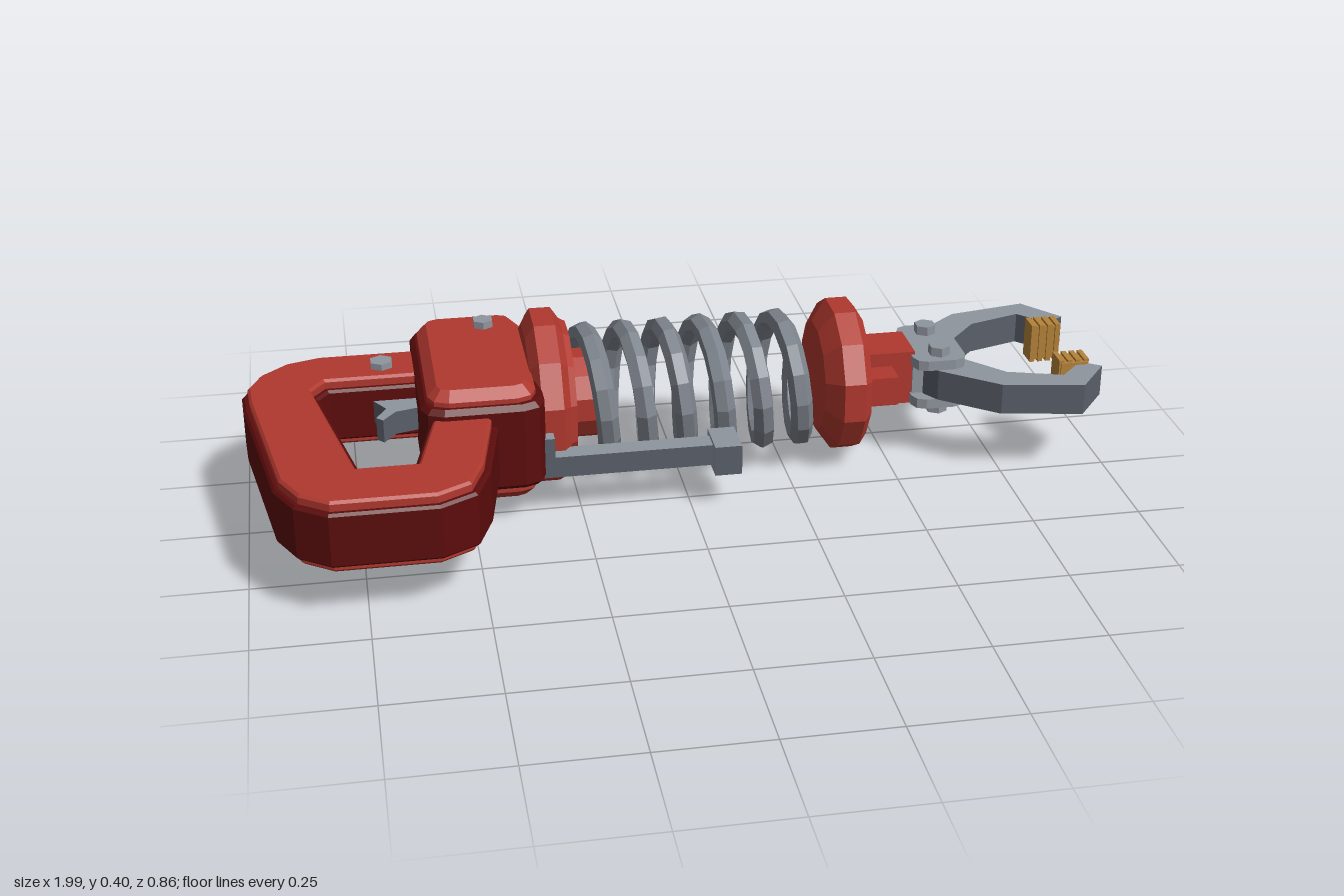
import * as THREE from 'three';

const AXIS_Y = 0.207, AXIS_Z = -0.19;

export function createModel() {
  const root = new THREE.Group();
  root.name = 'gripperTool';
  const mat = (name, color) => {
    const m = new THREE.MeshStandardMaterial({ color });
    m.name = name;
    return m;
  };
  const red = mat('red', 0xb0382e), darkRed = mat('dark red', 0x5c0c0c);
  const grey = mat('light grey', 0x8f959d), steel = mat('spring grey', 0x7d838c);
  const darkGrey = mat('dark grey', 0x5a606a), gold = mat('gold', 0xb58339);

  // Faceted mesh
  const add = (name, geo, material) => {
    const g = geo.index ? geo.toNonIndexed() : geo;
    g.computeVertexNormals();
    const m = new THREE.Mesh(g, material);
    m.name = name;
    root.add(m);
    return m;
  };
  const box = (name, x0, x1, y0, y1, z0, z1, material) => add(name,
    new THREE.BoxGeometry(x1 - x0, y1 - y0, z1 - z0)
      .translate((x0 + x1) / 2, (y0 + y1) / 2, (z0 + z1) / 2), material);

  // Horizontal plate from [x, z] points, with bevel and optional inset
  const plate = (name, pts, y0, y1, material, { bevel = 0, inset = 0, hole } = {}) => {
    const toV = (a) => a.map(([x, z]) => new THREE.Vector2(x, -z));
    const shape = new THREE.Shape(toV(pts));
    if (hole) shape.holes.push(new THREE.Path(toV(hole)));
    const geo = new THREE.ExtrudeGeometry(shape, {
      depth: y1 - y0 - 2 * bevel, bevelEnabled: bevel > 0, bevelSegments: 1,
      bevelSize: bevel, bevelThickness: bevel, bevelOffset: -bevel - inset,
    });
    geo.translate(0, 0, bevel).rotateX(-Math.PI / 2).translate(0, y0, 0);
    return add(name, geo, material);
  };
  // Rectangle with two-step rounded corners
  const roundRect = (x0, x1, z0, z1, r) => {
    const pts = [];
    [[x1 - r, z1 - r], [x0 + r, z1 - r], [x0 + r, z0 + r], [x1 - r, z0 + r]].forEach(([x, z], i) => {
      for (let k = 0; k <= 2; k++) {
        const a = (i + k / 2) * Math.PI / 2;
        pts.push([x + r * Math.cos(a), z + r * Math.sin(a)]);
      }
    });
    return pts;
  };
  // Twelve-sided part turned around the long axis, from [x, radius] points
  const turned = (name, profile, material) => {
    const geo = new THREE.LatheGeometry(profile.map(([x, r]) => new THREE.Vector2(r, x)), 12, Math.PI / 12);
    add(name, geo.rotateZ(-Math.PI / 2).translate(0, AXIS_Y, AXIS_Z), material);
  };
  const bolt = (name, x, z, y0, y1, r = 0.028) => add(name,
    new THREE.CylinderGeometry(r, r, y1 - y0, 6).translate(x, (y0 + y1) / 2, z), grey);

  // Loop handle: dark outer slab with slightly inset lighter faces
  const outline = [[-0.45, -0.325], [-0.82, -0.325], [-0.9, -0.3], [-0.965, -0.24], [-0.995, -0.17],
    [-0.99, -0.09], [-0.93, 0.3], [-0.89, 0.38], [-0.82, 0.43], [-0.59, 0.43], [-0.51, 0.385],
    [-0.475, 0.29], [-0.43, 0.03]];
  const hole = [[-0.8, -0.165], [-0.59, -0.165], [-0.59, 0.05], [-0.635, 0.255], [-0.745, 0.255], [-0.825, -0.13]];
  plate('handleCore', outline, 0.142, 0.268, darkRed, { bevel: 0.006, hole });
  plate('handleFaces', outline, 0.125, 0.29, red, { bevel: 0.006, inset: 0.014, hole });

  // Body block with raised panels above and below
  plate('bodyBlock', roundRect(-0.605, -0.33, -0.395, 0.083, 0.05), 0.106, 0.312, darkRed, { bevel: 0.012 });
  plate('bodyPanels', roundRect(-0.588, -0.348, -0.378, 0.063, 0.045), 0.07, 0.345, red, { bevel: 0.022 });

  // Bolts, trigger and bottom catch
  bolt('handleBolt', -0.677, -0.235, 0.112, 0.305);
  bolt('bodyBolt', -0.435, -0.3, 0.055, 0.362, 0.025);
  plate('trigger', [[-0.58, -0.17], [-0.705, -0.17], [-0.675, -0.12], [-0.7, -0.075], [-0.685, -0.06],
    [-0.655, -0.1], [-0.58, -0.12]], 0.18, 0.235, [grey, darkGrey]);
  bolt('catchKnob', -0.54, 0.018, 0.036, 0.075, 0.026);
  plate('catchLink', [[-0.56, 0.02], [-0.53, 0.035], [-0.45, -0.02], [-0.455, -0.055], [-0.48, -0.055]],
    0.05, 0.075, [grey, darkGrey]);
  bolt('catchPivot', -0.472, -0.035, 0.03, 0.07, 0.025);

  // Collars and hub
  turned('rearCollar', [[-0.352, 0], [-0.352, 0.17], [-0.332, 0.205], [-0.283, 0.205], [-0.265, 0.178],
    [-0.25, 0.17], [-0.25, 0]], red);
  turned('springHub', [[-0.25, 0], [-0.25, 0.105], [-0.19, 0.105], [-0.19, 0]], red);
  turned('frontCollar', [[0.335, 0], [0.335, 0.13], [0.352, 0.155], [0.37, 0.181], [0.42, 0.181],
    [0.44, 0.155], [0.44, 0]], red);

  // Coil spring
  class Coil extends THREE.Curve {
    getPoint(t, target = new THREE.Vector3()) {
      const a = t * 12 * Math.PI;
      return target.set(-0.225 + 0.545 * t, AXIS_Y + 0.141 * Math.sin(a), AXIS_Z - 0.141 * Math.cos(a));
    }
  }
  const coil = new Coil();
  add('spring', new THREE.TubeGeometry(coil, 84, 0.026, 6), steel);
  for (const t of [0, 1]) {
    const p = coil.getPoint(t);
    add('springEnd', new THREE.CylinderGeometry(0.026, 0.026, 0.02, 6).translate(p.x, p.y, p.z), steel);
  }

  // Side lever
  const sides = [grey, grey, grey, darkGrey, darkGrey, darkGrey];
  box('leverBar', -0.33, 0.06, 0.108, 0.158, -0.01, 0.04, sides);
  box('leverMount', -0.335, -0.31, 0.108, 0.205, -0.01, 0.04, sides);
  box('leverTip', 0.05, 0.112, 0.095, 0.166, -0.03, 0.07, sides);

  // Neck
  box('neck', 0.43, 0.565, 0.143, 0.275, -0.25, -0.13, red);
  box('neckRibs', 0.43, 0.51, 0.172, 0.242, -0.315, -0.065, red);

  // Claw bracket: two plates around the jaw roots
  const bracket = roundRect(0.556, 0.682, -0.297, -0.083, 0.03);
  plate('bracketTop', bracket, 0.244, 0.268, grey);
  plate('bracketBottom', bracket, 0.146, 0.17, grey);
  box('bracketCore', 0.56, 0.655, 0.17, 0.244, -0.255, -0.125, grey);

  // Mirrored jaws, pivots and ribbed pads; offsets are from the long axis
  const jaw = [[0.585, 0.07], [0.61, 0.11], [0.735, 0.21], [0.922, 0.244], [0.997, 0.148], [0.952, 0.118],
    [0.892, 0.182], [0.765, 0.142], [0.675, 0.04], [0.61, 0.035]];
  for (const s of [1, -1]) {
    const side = s > 0 ? 'front' : 'back';
    plate(side + 'Jaw', jaw.map(([x, d]) => [x, AXIS_Z + s * d]), 0.17, 0.244, [grey, darkGrey]);
    bolt(side + 'JawPivot', 0.622, AXIS_Z + s * 0.063, 0.122, 0.29, 0.026);
    const zs = (a, b) => [AXIS_Z + s * a, AXIS_Z + s * b].sort((p, q) => p - q);
    box(side + 'Pad', 0.902, 0.966, 0.165, 0.25, ...zs(0.082, 0.134), gold);
    for (let i = 0; i < 4; i++) {
      const x = 0.898 + i * 0.02;
      box(side + 'PadRib', x, x + 0.012, 0.16, 0.256, ...zs(0.077, 0.13), gold);
    }
  }
  return root;
}
